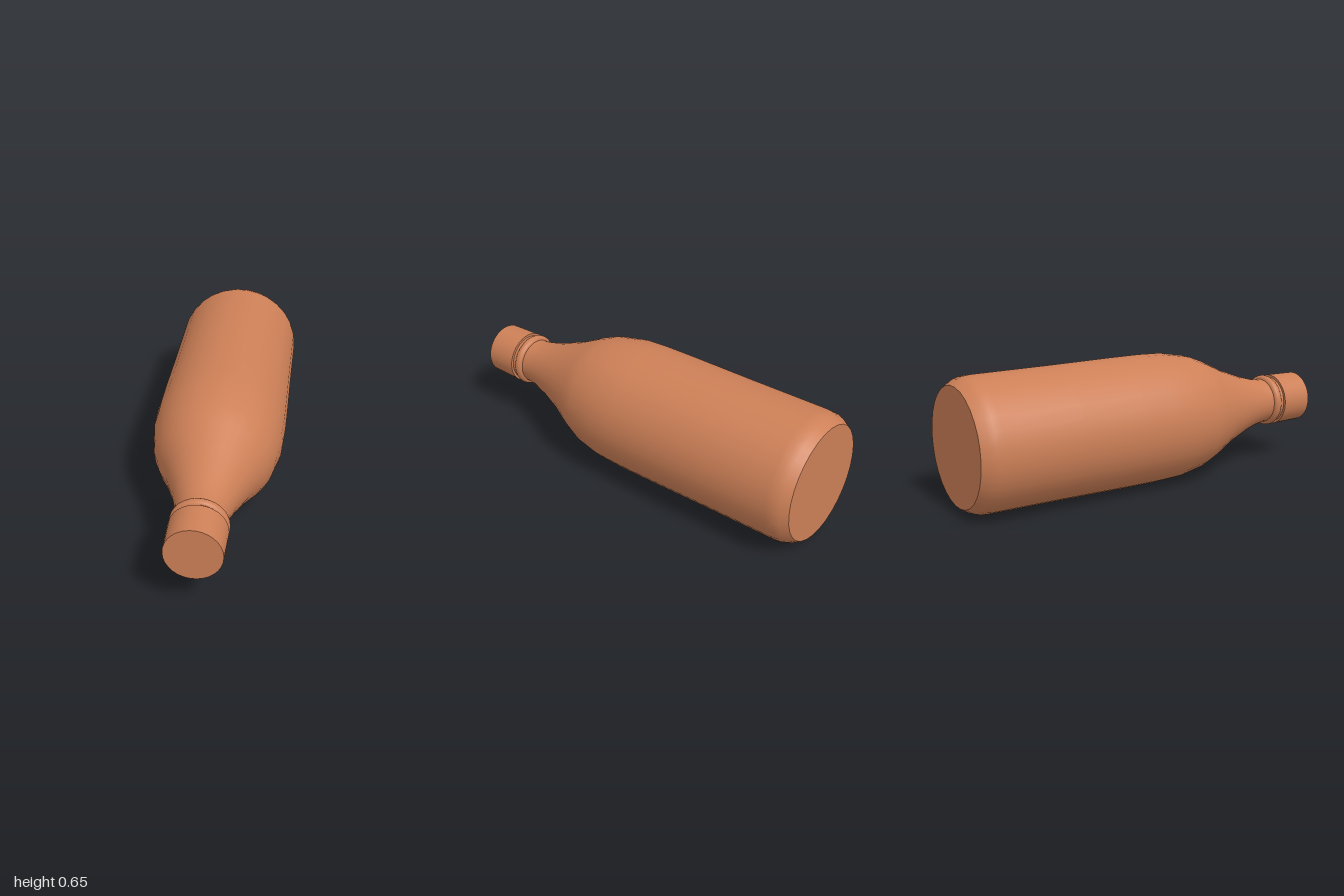
import * as THREE from 'three';

const SIDES = 30;
const material = new THREE.MeshStandardMaterial({ color: 0xcd8057 });

// Smooth turned surface from [position along axis, radius] pairs
function turned(name, profile) {
  const points = profile.map(([h, r]) => new THREE.Vector2(r, h));
  const mesh = new THREE.Mesh(new THREE.LatheGeometry(points, SIDES, Math.PI / 2), material);
  mesh.name = name;
  return mesh;
}

// Flat disc across the axis, facing up or down it
function disc(name, h, radius, up) {
  const mesh = new THREE.Mesh(new THREE.CircleGeometry(radius, SIDES), material);
  mesh.name = name;
  mesh.rotation.x = up ? -Math.PI / 2 : Math.PI / 2;
  mesh.position.y = h;
  return mesh;
}

export function createModel() {
  const bottle = new THREE.Group();
  bottle.name = 'bottle';

  // Body, shoulder and neck
  bottle.add(
    turned('body', [
      [-1, 0.284], [-0.965, 0.307], [-0.935, 0.317], [-0.9, 0.321], [-0.5, 0.322],
      [-0.17, 0.325], [0, 0.325], [0.13, 0.32], [0.27, 0.294], [0.35, 0.262],
      [0.47, 0.203], [0.6, 0.153], [0.69, 0.127], [0.75, 0.117], [0.84, 0.116],
    ]),
    disc('base', -1, 0.284, false),
  );

  // Rounded collar around the neck
  const collar = [];
  for (let i = 0; i <= 8; i++) {
    const a = -Math.PI / 2 + (i / 8) * Math.PI;
    collar.push([0.793 + 0.023 * Math.sin(a), 0.115 + 0.021 * Math.cos(a)]);
  }
  bottle.add(turned('collar', collar));

  // Narrow band between the collar and the cap
  bottle.add(turned('neckBand', [[0.805, 0.122], [0.835, 0.122]]));

  // Cap with flat ends
  bottle.add(
    turned('cap', [[0.832, 0.135], [1, 0.131]]),
    disc('capUnderside', 0.832, 0.135, false),
    disc('capTop', 1, 0.131, true),
  );

  // Lay the bottle down with its cap to the front
  bottle.rotation.x = Math.PI / 2;
  bottle.position.y = 0.323;
  const model = new THREE.Group();
  model.add(bottle);
  return model;
}
